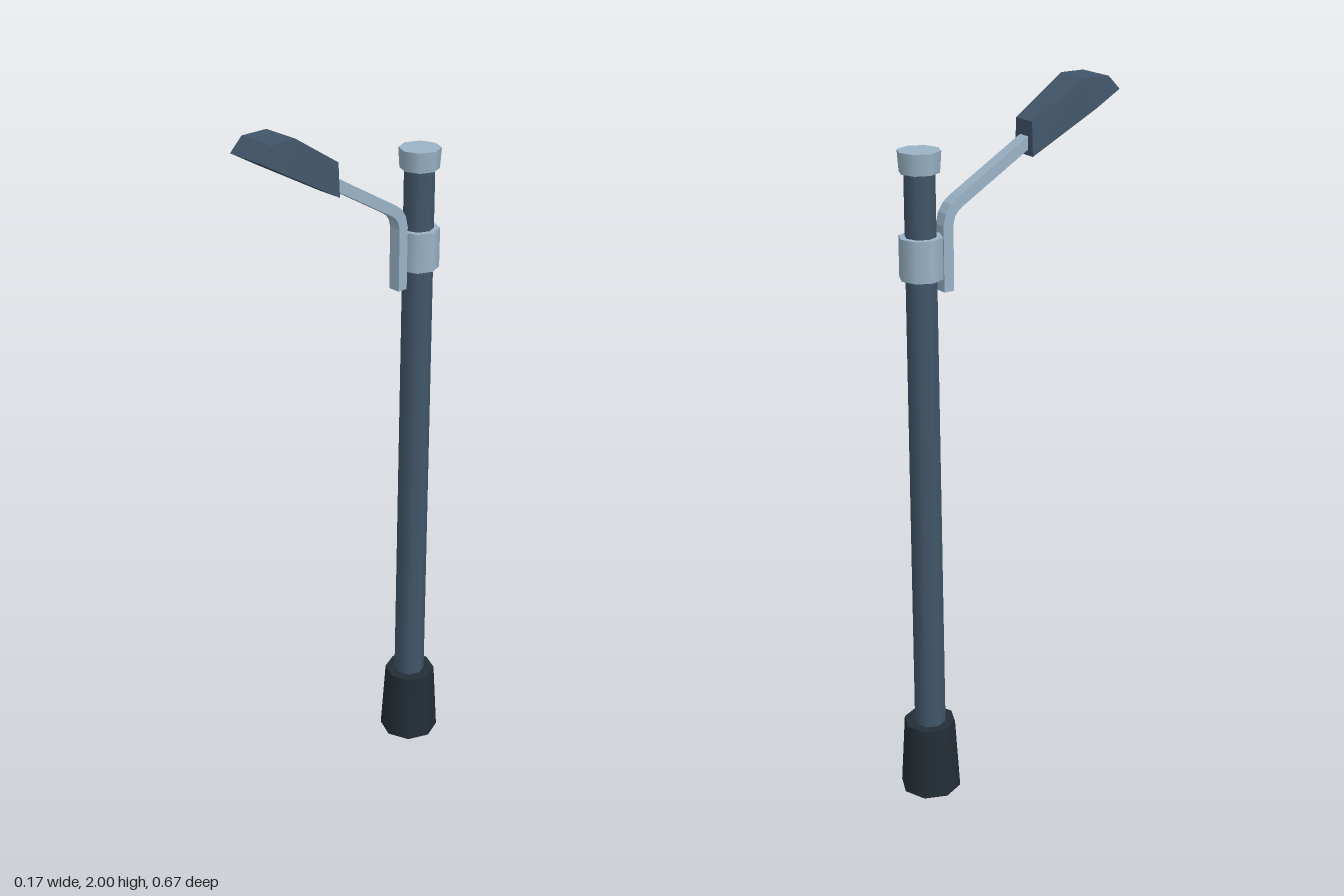
import * as THREE from 'three';

export function createModel() {
  const model = new THREE.Group();
  model.name = 'streetLamp';
  const material = (name, color, flatShading = false) =>
    Object.assign(new THREE.MeshStandardMaterial({ color, flatShading }), { name });
  const slate = material('slatePaint', 0x42566a);
  const dark = material('darkBase', 0x232e36);
  const steel = material('paleSteel', 0x9ab3c6);

  const CX = -0.002, CZ = -0.25;
  const add = (name, geometry, mat) => {
    const mesh = new THREE.Mesh(geometry, mat);
    mesh.name = name;
    model.add(mesh);
    return mesh;
  };

  // Upright parts: eight-sided tapered columns around the pole axis
  const column = (name, mat, rTop, rBottom, y0, y1, x = CX) => {
    const g = new THREE.CylinderGeometry(rTop, rBottom, y1 - y0, 8);
    add(name, g, mat).position.set(x, (y0 + y1) / 2, CZ);
  };
  column('base', dark, 0.074, 0.087, 0, 0.215, 0);
  column('pole', slate, 0.041, 0.045, 0.2, 1.82);
  column('collar', steel, 0.058, 0.058, 1.535, 1.645);
  column('poleCap', steel, 0.057, 0.053, 1.81, 1.865);

  // Bent arm: side outline offset from a centre line, extruded across x
  const path = [[-0.177, 1.49], [-0.177, 1.665], [-0.171, 1.69], [-0.158, 1.709], [-0.14, 1.722], [0.09, 1.857]]
    .map(([z, y]) => new THREE.Vector2(z, y));
  const offset = (d) => path.map((p, i) => {
    const a = path[Math.max(i - 1, 0)], b = path[Math.min(i + 1, path.length - 1)];
    const t = b.clone().sub(a).normalize();
    return new THREE.Vector2(p.x - t.y * d, p.y + t.x * d);
  });
  const outline = new THREE.Shape([...offset(-0.015), ...offset(0.015).reverse()]);
  const arm = new THREE.ExtrudeGeometry(outline, { depth: 0.036, bevelEnabled: false });
  arm.translate(0, 0, -0.018).rotateY(-Math.PI / 2);
  add('arm', arm, steel).position.x = CX;

  // Lamp head: four-cornered sections from rear to front; each is top then bottom [z, y, halfWidth]
  const sections = [
    [[0.07, 1.903, 0.035], [0.07, 1.813, 0.04]],
    [[0.225, 2.0, 0.052], [0.26, 1.919, 0.058]],
    [[0.3, 1.999, 0.055], [0.335, 1.962, 0.058]],
  ];
  const points = [], index = [];
  for (const [[tz, ty, tw], [bz, by, bw]] of sections) {
    points.push(-tw, ty, tz, tw, ty, tz, bw, by, bz, -bw, by, bz);
  }
  const quad = (a, b, c, d) => index.push(a, b, c, a, c, d);
  for (let s = 0; s < sections.length - 1; s++) {
    for (let k = 0; k < 4; k++) {
      const a = s * 4 + k, b = s * 4 + (k + 1) % 4;
      quad(a, a + 4, b + 4, b);
    }
  }
  quad(0, 1, 2, 3);
  const f = (sections.length - 1) * 4;
  quad(f + 3, f + 2, f + 1, f);
  const indexed = new THREE.BufferGeometry();
  indexed.setAttribute('position', new THREE.Float32BufferAttribute(points, 3));
  indexed.setIndex(index);
  const head = indexed.toNonIndexed();
  head.computeVertexNormals();
  add('lampHead', head, slate).position.x = CX;

  return model;
}
